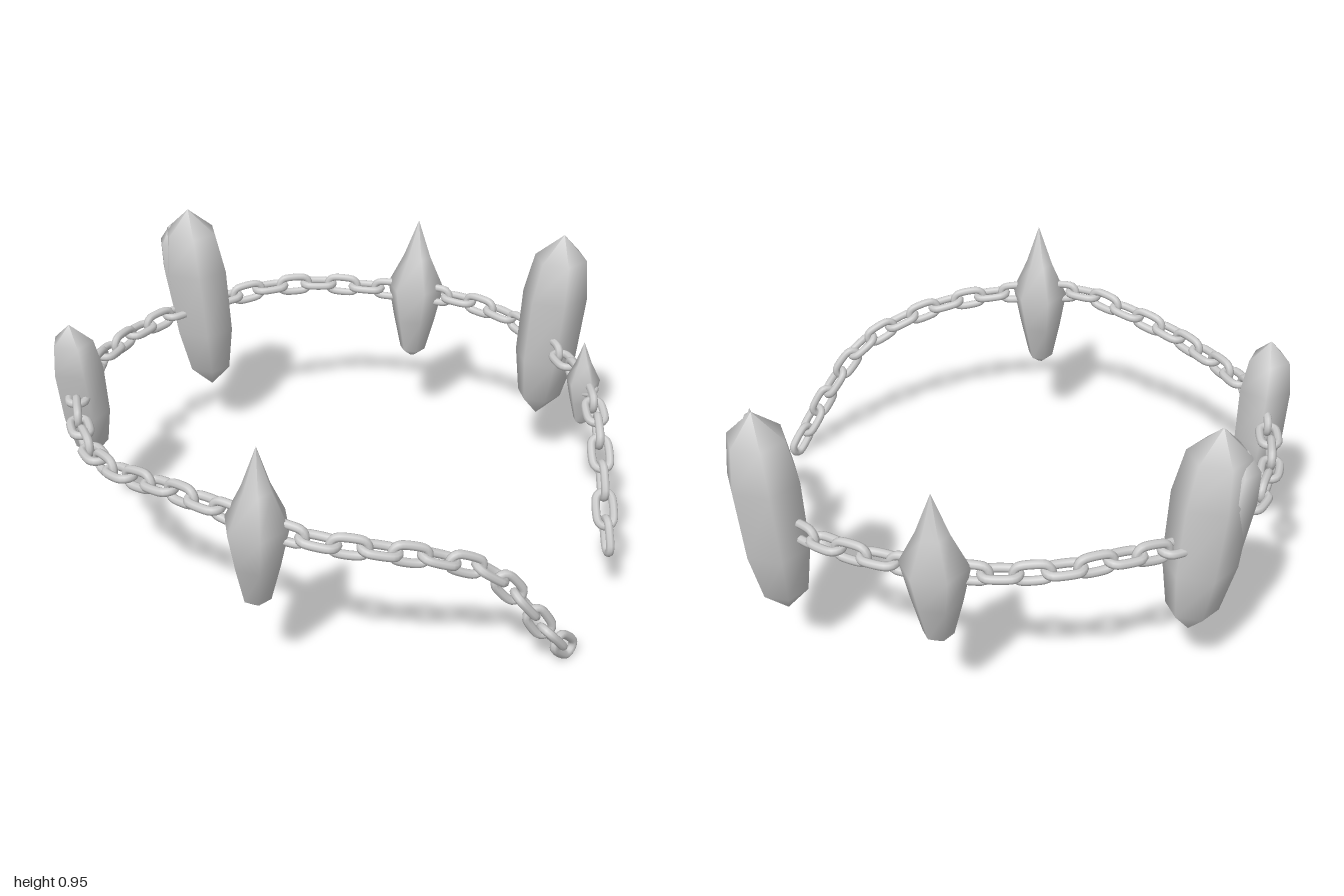
import * as THREE from 'three';

const material = new THREE.MeshStandardMaterial({ color: 0xcccccc, side: THREE.DoubleSide });

// Centres of every second link, from the hanging back end round to the hanging front end
const PATH = [
  [0.965, 0.16, 0.25], [0.935, 0.31, 0.16], [0.905, 0.46, 0.05], [0.875, 0.53, -0.11],
  [0.83, 0.54, -0.28], [0.75, 0.54, -0.46], [0.65, 0.54, -0.63], [0.49, 0.56, -0.77],
  [0.32, 0.57, -0.85], [0.13, 0.57, -0.89], [-0.05, 0.57, -0.9], [-0.24, 0.58, -0.88],
  [-0.42, 0.58, -0.81], [-0.58, 0.56, -0.72], [-0.73, 0.55, -0.59], [-0.84, 0.54, -0.43],
  [-0.9, 0.54, -0.24], [-0.91, 0.55, -0.05], [-0.89, 0.56, 0.15], [-0.82, 0.55, 0.34],
  [-0.72, 0.55, 0.5], [-0.59, 0.57, 0.63], [-0.43, 0.6, 0.73], [-0.26, 0.62, 0.83],
  [-0.09, 0.6, 0.88], [0.1, 0.57, 0.9], [0.28, 0.54, 0.87], [0.45, 0.49, 0.81],
  [0.6, 0.41, 0.74], [0.71, 0.27, 0.69], [0.8, 0.12, 0.64], [0.875, 0, 0.54],
];

// One oval link, long axis along x, lying flat in the xz plane
function linkGeometry(halfLength = 0.058, bend = 0.029, wire = 0.0145) {
  const points = [];
  for (const side of [1, -1]) {
    for (let i = 0; i <= 6; i++) {
      const a = -Math.PI / 2 + (i / 6) * Math.PI;
      points.push(new THREE.Vector3(
        side * (halfLength - bend + bend * Math.cos(a)), 0, side * bend * Math.sin(a)));
    }
  }
  const curve = new THREE.CatmullRomCurve3(points, true);
  return new THREE.TubeGeometry(curve, 28, wire, 8, true);
}

// Flat links at the path points, upright links halfway between them
function buildChain() {
  const chain = new THREE.Group();
  chain.name = 'chain';
  const curve = new THREE.CatmullRomCurve3(PATH.map((p) => new THREE.Vector3(...p)));
  const geometry = linkGeometry();
  const up = new THREE.Vector3(0, 1, 0);
  const steps = 2 * (PATH.length - 1);
  for (let k = 1; k < steps; k++) {
    const along = curve.getTangent(k / steps);
    const across = new THREE.Vector3().crossVectors(along, up).normalize();
    const normal = new THREE.Vector3().crossVectors(across, along);
    const link = new THREE.Mesh(geometry, material);
    link.name = 'chainLink';
    link.quaternion.setFromRotationMatrix(new THREE.Matrix4().makeBasis(along, normal, across));
    if (k % 2) link.rotateX(Math.PI / 2);
    link.position.copy(curve.getPoint(k / steps));
    chain.add(link);
  }
  return chain;
}

// Crystal profiles: [height fraction, width fraction] from tip to foot
const LONG = [[1, 0], [0.88, 0.8], [0.68, 1], [0.35, 0.95], [0.12, 0.68], [0, 0]];
const DART = [[1, 0], [0.74, 0.48], [0.53, 1], [0.29, 0.75], [0.05, 0.45], [0, 0.12], [0, 0]];

// Many-sided crystal that leans by [leanX, leanZ] from foot to tip
function buildCrystal(name, profile, sides, turn, [x, z], [rx, rz], [foot, tip], [leanX, leanZ]) {
  const positions = [], index = [];
  profile.forEach(([t, w], r) => {
    for (let i = 0; i < sides; i++) {
      const a = THREE.MathUtils.degToRad(turn) + (i / sides) * Math.PI * 2;
      positions.push(
        x + leanX * (t - 0.5) + rx * w * Math.cos(a),
        foot + (tip - foot) * t,
        z + leanZ * (t - 0.5) + rz * w * Math.sin(a));
      if (r === 0) continue;
      const j = (i + 1) % sides, u = (r - 1) * sides, l = r * sides;
      index.push(u + i, u + j, l + j, u + i, l + j, l + i);
    }
  });
  const geometry = new THREE.BufferGeometry();
  geometry.setAttribute('position', new THREE.Float32BufferAttribute(positions, 3));
  geometry.setIndex(index);
  geometry.computeVertexNormals();
  const mesh = new THREE.Mesh(geometry, material);
  mesh.name = name;
  return mesh;
}

export function createModel() {
  const model = new THREE.Group();
  model.name = 'crystalChain';
  model.add(
    buildChain(),
    buildCrystal('leftmostCrystal', LONG, 5, 200, [-0.895, 0.1], [0.09, 0.09], [0.28, 0.82], [-0.03, 0.05]),
    buildCrystal('largeBackLeftCrystal', LONG, 6, 190, [-0.665, -0.66], [0.125, 0.12], [0.205, 0.95], [-0.06, 0.02]),
    buildCrystal('backLeftShard', LONG, 5, 195, [-0.725, -0.66], [0.072, 0.075], [0.32, 0.88], [-0.09, 0]),
    buildCrystal('backCrystal', DART, 6, 185, [0.145, -0.9], [0.11, 0.105], [0.3, 0.86], [0.01, -0.03]),
    buildCrystal('largeBackRightCrystal', LONG, 6, 190, [0.685, -0.65], [0.12, 0.125], [0.21, 0.95], [0.06, 0]),
    buildCrystal('smallCrystal', DART, 5, 200, [0.825, -0.255], [0.062, 0.058], [0.4, 0.72], [-0.01, 0]),
    buildCrystal('frontCrystal', DART, 6, 190, [-0.09, 0.88], [0.105, 0.118], [0.3, 0.87], [0.015, 0.02]),
  );
  return model;
}
